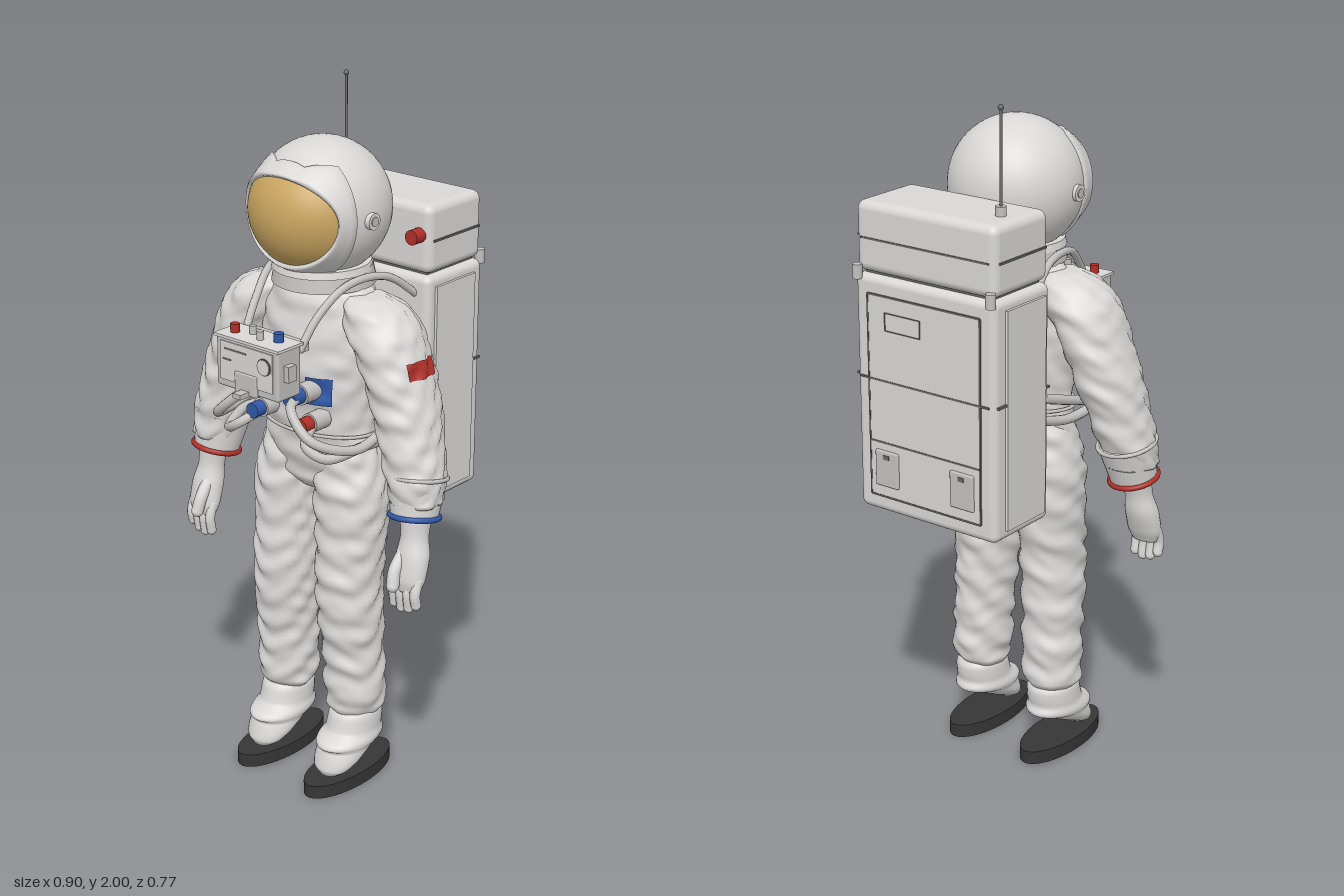
import * as THREE from 'three';
import { RoundedBoxGeometry } from 'three/addons/geometries/RoundedBoxGeometry.js';

const V = (x, y, z) => new THREE.Vector3(x, y, z);

export function createModel() {
  const root = new THREE.Group();
  const mat = (name, color) => {
    const m = new THREE.MeshStandardMaterial({ color });
    m.name = name;
    return m;
  };
  const white = mat('suit white', 0xd9d8d6);
  const grey = mat('trim grey', 0xc2c1bf);
  const line = mat('seam grey', 0x6c6b6a);
  const gold = mat('visor gold', 0xc9a560);
  const red = mat('red', 0xb03028);
  const blue = mat('blue', 0x3158a8);
  const dark = mat('sole black', 0x363636);

  const add = (name, geo, m, x = 0, y = 0, z = 0, parent = root) => {
    const mesh = new THREE.Mesh(geo, m);
    mesh.name = name;
    mesh.position.set(x, y, z);
    parent.add(mesh);
    return mesh;
  };
  const box = (name, w, h, d, m, x, y, z) => add(name, new THREE.BoxGeometry(w, h, d), m, x, y, z);
  const rbox = (name, w, h, d, r, m, x, y, z) => add(name, new RoundedBoxGeometry(w, h, d, 4, r), m, x, y, z);
  // Cylinder along a chosen axis
  const disc = (name, r, h, m, x, y, z, axis = 'y') => {
    const c = add(name, new THREE.CylinderGeometry(r, r, h, 24), m, x, y, z);
    if (axis === 'z') c.rotation.x = Math.PI / 2;
    if (axis === 'x') c.rotation.z = Math.PI / 2;
    return c;
  };
  const tube = (name, pts, r, m, closed = false) =>
    add(name, new THREE.TubeGeometry(new THREE.CatmullRomCurve3(pts, closed), 48, r, 10, closed), m);

  // Smooth surface from a function of row u and column v
  const grid = (f, nu, nv, wrap) => {
    const pos = [], idx = [], cols = wrap ? nv : nv + 1;
    for (let i = 0; i <= nu; i++)
      for (let j = 0; j < cols; j++) pos.push(...f(i / nu, j / nv, i).toArray());
    for (let i = 0; i < nu; i++)
      for (let j = 0; j < nv; j++) {
        const k = (j + 1) % cols;
        const a = i * cols + j, b = i * cols + k;
        idx.push(a, b, a + cols, b, b + cols, a + cols);
      }
    const g = new THREE.BufferGeometry();
    g.setAttribute('position', new THREE.Float32BufferAttribute(pos, 3));
    g.setIndex(idx);
    g.computeVertexNormals();
    return g;
  };
  // Fabric surface through elliptical rings [x, y, z, rx, rz], listed downward
  const fabric = (rings, amp = 0, s = 1) => {
    const mid = new THREE.CatmullRomCurve3(rings.map(r => V(r[0] * s, r[1], r[2])));
    const rad = new THREE.CatmullRomCurve3(rings.map(r => V(r[3], 0, r[4])));
    return (t, a, k = 1, lift = 0) => {
      const c = mid.getPoint(t), r = rad.getPoint(t);
      const fold = amp * (Math.sin(c.y * 62 + 1.6 * Math.sin(a * 2 + s) + c.y * 9 * Math.sin(a)) +
        0.6 * Math.sin(c.y * 105 + 2 * Math.cos(a * 3 - s)) * Math.cos(a * 2 + c.y * 11));
      return V(c.x + Math.cos(a) * k * (r.x + fold + lift), c.y, c.z + Math.sin(a) * k * (r.z + fold + lift));
    };
  };
  // Closed fabric body; the first and last rows collapse into caps
  const loft = (surf, n, cols = 40) => grid((u, v, i) => {
    const t = Math.min(1, Math.max(0, (i - 1) / (n - 2)));
    return surf(t, v * Math.PI * 2, i === 0 || i === n ? 0 : 1);
  }, n, cols, true);
  const patch = (surf, t0, t1, a0, a1) =>
    grid((u, v) => surf(t0 + (t1 - t0) * u, a0 + (a1 - a0) * v, 1, 0.004), 10, 10, false);

  // Torso, waist cord and chest patch
  const torso = fabric([[0, 1.52, .03, .11, .085], [0, 1.49, .035, .16, .1], [0, 1.41, .04, .19, .115],
    [0, 1.3, .045, .19, .125], [0, 1.2, .045, .18, .125], [0, 1.1, .045, .178, .112],
    [0, 1.01, .043, .185, .105], [0, .94, .043, .15, .09], [0, .9, .043, .07, .06]], .003);
  add('torso', loft(torso, 70, 56), white);
  add('chestPatch', patch(torso, .42, .52, 0.85, 1.3), blue);
  tube('waistCord', Array.from({ length: 16 }, (_, i) => {
    const a = i / 16 * Math.PI * 2;
    return V(.186 * Math.cos(a), 1.092, .045 + .122 * Math.sin(a));
  }), .005, grey, true);

  for (const s of [1, -1]) {
    // Arm
    const arm = fabric([[.16, 1.49, .04, .05, .05], [.185, 1.465, .04, .09, .085], [.225, 1.4, .042, .105, .108],
      [.275, 1.3, .045, .092, .108], [.31, 1.2, .05, .094, .1], [.335, 1.12, .06, .086, .093],
      [.358, 1.04, .07, .084, .085], [.372, .96, .08, .072, .074]], .004, s);
    add('arm', loft(arm, 70), white);
    if (s > 0) add('armPatch', patch(arm, .36, .425, -.42, .5), red);

    // Glove cuff with ribs and coloured ring
    const cuff = new THREE.Group();
    cuff.name = 'cuff';
    cuff.position.set(.368 * s, .97, .078);
    cuff.quaternion.setFromUnitVectors(V(0, 1, 0), V(-.012 * s, .12, -.025).normalize());
    root.add(cuff);
    add('cuffSleeve', new THREE.CylinderGeometry(.083, .066, .115, 32), white, 0, 0, 0, cuff);
    for (const [name, y, r, w, m] of [['cuffRib', .055, .083, .006, grey], ['cuffRing', -.055, .068, .008, s > 0 ? blue : red]]) {
      const t = add(name, new THREE.TorusGeometry(r, w, 10, 36), m, 0, y, 0, cuff);
      t.rotation.x = Math.PI / 2;
    }
    // Glove, fingers and thumb
    add('glove', loft(fabric([[.38, .92, .09, .045, .045], [.384, .865, .1, .04, .038], [.388, .81, .112, .05, .042],
      [.388, .75, .128, .052, .036], [.387, .715, .135, .04, .024]], 0, s), 24, 24), white);
    const digit = (name, r, pts) => {
      const p = pts.map(q => V(q[0] * s, q[1], q[2]));
      tube(name, p, r, white);
      for (const e of [p[0], p[2]]) add(name + 'Tip', new THREE.SphereGeometry(r, 12, 8), white, e.x, e.y, e.z);
    };
    for (let i = 0; i < 4; i++) {
      const x = .388 + (i - 1.5) * .025, y = [.668, .66, .665, .68][i];
      digit('finger', .0145, [[x, .75, .135], [x, .71, .147], [x, y, .142]]);
    }
    digit('thumb', .018, [[.37, .82, .13], [.368, .775, .165], [.372, .735, .178]]);

    // Leg
    add('leg', loft(fabric([[.095, 1.07, .043, .08, .08], [.1, .99, .042, .1, .095], [.11, .9, .045, .108, .106],
      [.115, .78, .05, .1, .103], [.117, .64, .062, .094, .1], [.122, .52, .06, .092, .097], [.125, .4, .052, .087, .09],
      [.128, .3, .048, .088, .09], [.13, .24, .048, .083, .086], [.13, .21, .048, .06, .06]], .0045, s), 90), white);
    // Boot and sole
    add('boot', loft(fabric([[.132, .24, .045, .06, .06], [.132, .21, .048, .073, .085], [.132, .16, .06, .075, .09],
      [.132, .12, .09, .075, .09], [.132, .085, .128, .07, .065], [.132, .06, .155, .055, .043],
      [.132, .043, .165, .03, .025]], 0, s), 36, 32), white);
    const sole = add('sole', new THREE.CylinderGeometry(1, 1, .04, 48), dark, .132 * s, .022, .085);
    sole.scale.set(.073, 1, .175);

    // Shoulder strap tube and air hoses
    const path = (name, r, pts) => tube(name, pts.map(q => V(q[0] * s, q[1], q[2])), r, grey);
    path('shoulderStrap', .011, [[.1, 1.37, .25], [.115, 1.46, .185], [.14, 1.525, .1], [.165, 1.525, -.03], [.19, 1.45, -.14]]);
    path('upperHose', .014, [[.065, 1.225, .2], [.09, 1.21, .275], [.17, 1.14, .285], [.235, 1.1, .18], [.235, 1.13, .03], [.22, 1.18, -.14]]);
    path('lowerHose', .014, [[.09, 1.14, .18], [.125, 1.105, .255], [.18, 1.075, .235], [.222, 1.09, .12], [.215, 1.08, 0], [.2, 1.11, -.14]]);
    disc('upperConnector', .024, .05, s > 0 ? blue : red, .065 * s, 1.225, .23, 'z');
    disc('lowerConnector', .022, .05, s > 0 ? red : blue, .09 * s, 1.145, .21, 'z');
    disc('upperFitting', .03, .06, grey, .065 * s, 1.225, .18, 'z');
    disc('lowerFitting', .028, .06, grey, .09 * s, 1.145, .17, 'z');
    // Helmet ear pivot
    disc('earPivot', .023, .02, white, .19 * s, 1.705, .06, 'x');
    disc('earCap', .013, .026, grey, .19 * s, 1.705, .06, 'x');
    // Pack side fittings
    box('sideRail', .008, .62, .17, white, .242 * s, 1.17, -.24);
    box('sideSeam', .008, .006, .225, line, .2405 * s, 1.22, -.247);
    box('upperSideSeam', .006, .005, .2, line, .238 * s, 1.61, -.247);
    disc('packHinge', .014, .04, grey, .225 * s, 1.515, -.37);
    rbox('packPouch', .08, .105, .014, .005, grey, .13 * s, .965, -.373);
    box('pouchTab', .02, .012, .008, line, .13 * s, 1.0, -.378);
    box('panelSeam', .005, .58, .006, line, .19 * s, 1.17, -.371);
  }

  // Helmet and neck ring
  const hy = 1.71, hz = .04;
  add('helmet', new THREE.SphereGeometry(.19, 48, 32), white, 0, hy, hz);
  add('neckRing', new THREE.CylinderGeometry(.135, .145, .05, 40), grey, 0, 1.525, .035);
  add('helmetBase', new THREE.CylinderGeometry(.135, .14, .02, 40), white, 0, 1.55, .042);
  // Visor and its surrounding shell, swept around the forward axis
  const ray = (theta, phi, r) => V(Math.sin(theta) * Math.cos(phi) * r, Math.sin(theta) * Math.sin(phi) * r, Math.cos(theta) * r);
  const open = p => Math.asin(1 / Math.hypot(Math.cos(p) / .8, Math.sin(p) / (Math.sin(p) > 0 ? .54 : .66)));
  const outer = p => {
    const top = Math.abs(((p + Math.PI * 2.5) % (Math.PI * 2)) - Math.PI);
    return top < .35 ? .85 : top < .62 ? .85 + (top - .35) : 1.2;
  };
  add('visor', grid((u, v) => {
    const p = -v * Math.PI * 2;
    return ray(open(p) * u, p, .212 - .012 * u * u);
  }, 16, 64, true), gold, 0, hy, hz);
  const shell = [[0, .188], [0, .209], [.12, .209], [.4, .203], [.7, .199], [1, .197], [1, .186]];
  add('visorShell', grid((u, v, i) => {
    const p = -v * Math.PI * 2, o = open(p);
    return ray(o + (outer(p) - o) * shell[i][0], p, shell[i][1]);
  }, shell.length - 1, 72, true), white, 0, hy, hz);

  // Chest control box
  rbox('controlBox', .225, .145, .092, .008, grey, 0, 1.325, .302);
  box('controlLid', .235, .008, .1, white, 0, 1.397, .302);
  box('controlFace', .19, .11, .006, white, 0, 1.33, .348);
  rbox('latchPlate', .08, .06, .01, .004, grey, 0, 1.28, .351);
  box('latchLever', .028, .014, .04, grey, 0, 1.256, .37);
  disc('dialRim', .024, .008, line, .066, 1.345, .35, 'z');
  disc('dial', .021, .012, white, .066, 1.345, .35, 'z');
  box('slot', .08, .005, .006, line, -.04, 1.365, .349);
  box('shortSlot', .03, .005, .006, line, -.07, 1.335, .349);
  box('sideSwitch', .02, .045, .03, grey, .12, 1.33, .31);
  box('boxBracket', .2, .025, .05, grey, 0, 1.375, .235);
  for (const [x, z, r, m] of [[-.077, .31, .013, red], [.064, .29, .014, blue], [-.03, .29, .01, grey], [.015, .31, .01, grey]])
    disc('topKnob', r, .03, m, x, 1.41, z);

  // Life support pack
  rbox('packBody', .475, .68, .245, .022, white, 0, 1.17, -.247);
  rbox('packTop', .47, .195, .235, .025, white, 0, 1.612, -.247);
  box('packGap', .43, .03, .2, line, 0, 1.512, -.247);
  box('backPanel', .38, .58, .006, white, 0, 1.17, -.37);
  for (const [y, w] of [[1.46, .38], [1.22, .44], [1.04, .38], [.88, .38]]) box('backSeam', w, .005, .007, line, 0, y, -.371);
  box('topSeam', .43, .005, .006, line, 0, 1.61, -.364);
  for (const y of [1.365, 1.415]) box('labelEdge', .12, .003, .005, line, .07, y, -.373);
  for (const x of [.01, .13]) box('labelSide', .003, .05, .005, line, x, 1.39, -.373);
  disc('redValve', .021, .045, red, .2, 1.625, -.115, 'z');

  // Antenna
  disc('antennaBase', .015, .03, grey, -.175, 1.72, -.26);
  disc('antennaRod', .004, .28, line, -.175, 1.85, -.26);
  add('antennaTip', new THREE.SphereGeometry(.008, 12, 8), line, -.175, 1.992, -.26);
  return root;
}
